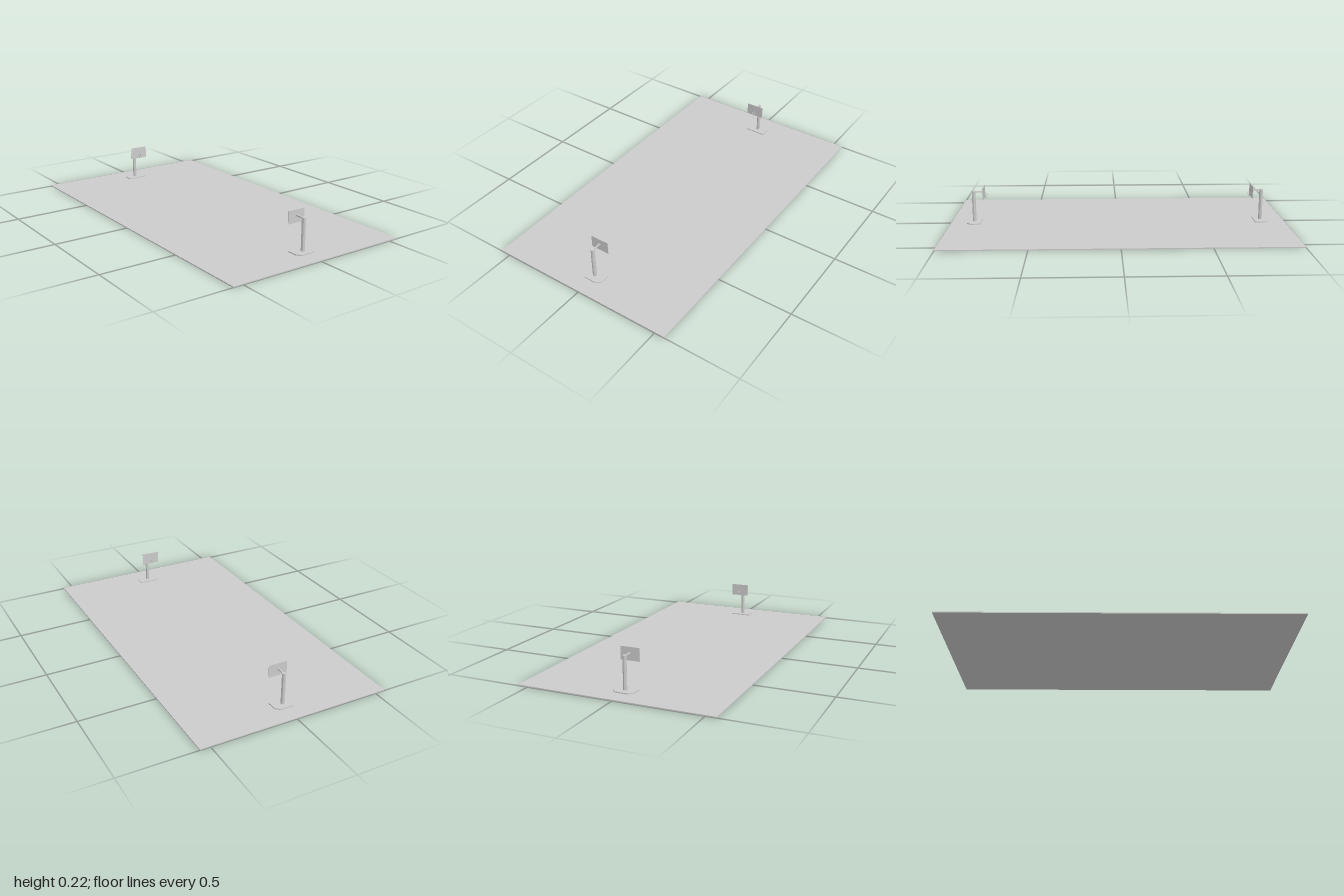
import * as THREE from 'three';

const grey = new THREE.MeshStandardMaterial({ color: 0xcccccc });
const faceted = new THREE.MeshStandardMaterial({ color: 0xcccccc, flatShading: true });
const open = new THREE.MeshStandardMaterial({ color: 0xcccccc, side: THREE.DoubleSide });

function add(parent, name, geometry, x, y, z, material = grey) {
  const mesh = new THREE.Mesh(geometry, material);
  mesh.name = name;
  mesh.position.set(x, y, z);
  parent.add(mesh);
  return mesh;
}

// One stand, facing -x, with its pole on the local origin
function createStand(name) {
  const stand = new THREE.Group();
  stand.name = name;

  // Foot plate with the two outer corners cut off
  const plate = new THREE.Shape([
    [-0.04, -0.062], [0.018, -0.062], [0.042, -0.038],
    [0.042, 0.038], [0.018, 0.062], [-0.04, 0.062],
  ].map(([x, z]) => new THREE.Vector2(x, z)));
  const plateGeometry = new THREE.ExtrudeGeometry(plate, { depth: 0.009, bevelEnabled: false });
  plateGeometry.rotateX(-Math.PI / 2);
  add(stand, 'footPlate', plateGeometry, 0, 0.003, 0);

  // Upright and the arm that carries the board
  add(stand, 'pole', new THREE.CylinderGeometry(0.011, 0.011, 0.188, 8), 0, 0.103, 0, faceted);
  add(stand, 'arm', new THREE.BoxGeometry(0.06, 0.007, 0.007), -0.031, 0.1925, 0);
  add(stand, 'backboard', new THREE.BoxGeometry(0.003, 0.073, 0.11), -0.06, 0.1875, 0);

  // Hoop with a tapering net of crossing cords
  const hoop = add(stand, 'hoop', new THREE.TorusGeometry(0.009, 0.0009, 6, 16), -0.0725, 0.178, 0);
  hoop.rotation.x = Math.PI / 2;
  add(stand, 'hoopBracket', new THREE.BoxGeometry(0.004, 0.002, 0.005), -0.0625, 0.178, 0);

  const net = new THREE.Group();
  net.name = 'net';
  net.position.set(-0.0725, 0.178, 0);
  stand.add(net);
  const at = (angle, radius, y) =>
    new THREE.Vector3(Math.cos(angle) * radius, y, Math.sin(angle) * radius);
  for (let i = 0; i < 8; i++) {
    const a = (i / 8) * Math.PI * 2;
    for (const twist of [-0.8, 0.8]) {
      const cord = new THREE.CatmullRomCurve3([
        at(a, 0.009, 0), at(a + twist / 2, 0.007, -0.011), at(a + twist, 0.006, -0.022),
      ]);
      add(net, 'netCord', new THREE.TubeGeometry(cord, 4, 0.0003, 4), 0, 0, 0, open);
    }
  }
  return stand;
}

export function createModel() {
  const model = new THREE.Group();
  model.name = 'court';

  // Thin playing surface
  add(model, 'floor', new THREE.BoxGeometry(2, 0.006, 1.118), 0, 0.003, 0);

  // A stand at each end, facing the middle
  for (const side of [1, -1]) {
    const stand = createStand(side > 0 ? 'leftStand' : 'rightStand');
    stand.position.x = side * 0.861;
    if (side < 0) stand.rotation.y = Math.PI;
    model.add(stand);
  }
  return model;
}
